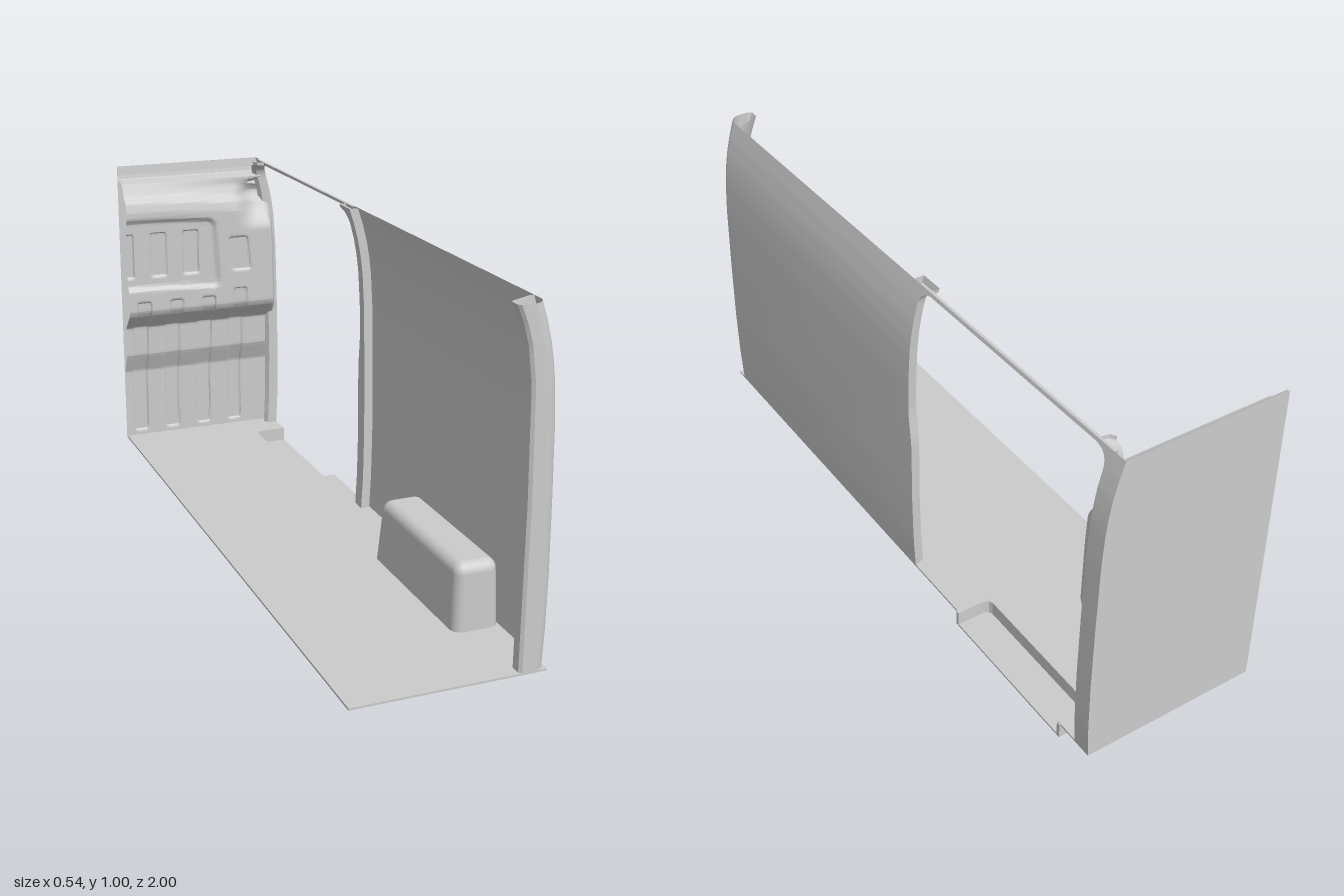
import * as THREE from 'three';
import { toCreasedNormals } from 'three/addons/utils/BufferGeometryUtils.js';
import { RoundedBoxGeometry } from 'three/addons/geometries/RoundedBoxGeometry.js';

const material = new THREE.MeshStandardMaterial({ color: 0xcccccc, side: THREE.DoubleSide });
const FLOOR = 0.05, LEFT = -0.272;
const lerp = THREE.MathUtils.lerp;
const ss = (a, b, v) => THREE.MathUtils.smoothstep(v, a, b);

// piecewise linear lookup in [key, value] pairs
function lookup(table, k) {
  let i = 1;
  while (i < table.length - 1 && k > table[i][0]) i++;
  const [a, b] = [table[i - 1], table[i]];
  return lerp(a[1], b[1], THREE.MathUtils.clamp((k - a[0]) / (b[0] - a[0]), 0, 1));
}

// outer curve of the body side (x for each height)
const SIDE = [[0.045, 0.265], [0.15, 0.27], [0.3, 0.272], [0.5, 0.27], [0.7, 0.266], [0.8, 0.26],
  [0.85, 0.254], [0.9, 0.245], [0.95, 0.232], [1, 0.216]];
const sideX = y => lookup(SIDE, y);
// inner edge of the rear pillar
const INNER = [[0.045, 0.187], [0.5, 0.19], [0.8, 0.185], [0.9, 0.172], [0.95, 0.158], [1, 0.138]];

// doorway edges with rounded upper corners
function cornerInset(y) {
  const r = 0.045, d = Math.min(Math.max(y - (0.99 - r), 0), r);
  return r - Math.sqrt(r * r - d * d);
}
const doorRear = y => lerp(-0.155, -0.14, ss(0.48, 0.62, y)) - cornerInset(y);
const doorFront = y => -0.942 + cornerInset(y);

// heights for body rows, closer together near the top
const HEIGHTS = [];
for (let i = 0; i <= 36; i++) HEIGHTS.push(0.045 + 0.855 * i / 36);
for (let i = 1; i <= 20; i++) HEIGHTS.push(0.9 + 0.1 * i / 20);

// surface through rows of equally many points
function loft(rows, crease = 0.5) {
  const n = rows[0].length, index = [];
  for (let j = 0; j < rows.length - 1; j++) {
    for (let i = 0; i < n - 1; i++) {
      const a = j * n + i, b = a + n;
      index.push(a, a + 1, b, b, a + 1, b + 1);
    }
  }
  const g = new THREE.BufferGeometry();
  g.setAttribute('position', new THREE.Float32BufferAttribute(rows.flat(2), 3));
  g.setIndex(index);
  g.computeVertexNormals();
  return toCreasedNormals(g, crease);
}

// horizontal section repeated at all body heights
const loftUp = section => loft(HEIGHTS.map(y => section(y).map(([x, z]) => [x, y, z])));

// plan outline in (x, z) extruded from height y0 to y1
function slab(points, y0, y1) {
  const s = new THREE.Shape(points.map(([x, z]) => new THREE.Vector2(x, -z)));
  const g = new THREE.ExtrudeGeometry(s, { depth: y1 - y0, bevelEnabled: false });
  return g.rotateX(-Math.PI / 2).translate(0, y0, 0);
}

// 1 inside a rounded rectangle, falling to 0 across the given edge width
function panel(x, y, x0, x1, y0, y1, r, edge) {
  const qx = Math.abs(x - (x0 + x1) / 2) - (x1 - x0) / 2 + r;
  const qy = Math.abs(y - (y0 + y1) / 2) - (y1 - y0) / 2 + r;
  const d = Math.hypot(Math.max(qx, 0), Math.max(qy, 0)) + Math.min(Math.max(qx, qy), 0) - r;
  return 1 - ss(-edge, 0, d);
}

// inner skin of the bulkhead: stepped profile, scooped corner, pressed panels
const STEPS = [[0.045, -0.991], [0.285, -0.991], [0.35, -0.962], [0.448, -0.96], [0.503, -0.908],
  [0.52, -0.9], [0.86, -0.898], [0.89, -0.905], [0.91, -0.925], [0.95, -0.942], [0.957, -0.99], [1, -0.994]];
function bulkheadZ(x, y) {
  const sag = 0.028 * ((x - LEFT) / 0.45) ** 2;
  const z0 = lookup(STEPS, y + sag * ss(0.6, 0.85, y) * (1 - ss(0.92, 0.953, y)));
  let z = z0 - 0.04 * ss(0.11, 0.19, x) * ss(0.77, 0.86, y) * (1 - ss(0.89, 0.94, y));
  for (let i = 0; i < 4; i++) {
    const c = -0.22 + 0.114 * i;
    z -= 0.006 * panel(x, y, c - 0.027, c + 0.027, 0.065, i === 3 ? 0.575 : 0.555, 0.012, 0.006);
  }
  z -= 0.012 * panel(x, y + sag, -0.5, 0.057 - 0.06 * (y - 0.588), 0.588, 0.84, 0.035, 0.022);
  for (const c of [-0.276, -0.163, -0.05]) z -= 0.006 * panel(x, y, c - 0.03, c + 0.03, 0.633, 0.788, 0.012, 0.006);
  z -= 0.006 * panel(x + 0.1 * (y - 0.633), y, 0.09, 0.165, 0.633, 0.755, 0.015, 0.006);
  return Math.max(z, -0.998);
}

export function createModel() {
  const model = new THREE.Group();
  const add = (name, geometry) => {
    const m = new THREE.Mesh(geometry, material);
    m.name = name;
    model.add(m);
  };

  // floor with a notch for the step
  add('floor', slab([[LEFT, -1], [0.265, -1], [0.265, -0.868], [0.164, -0.868], [0.164, -0.392],
    [0.265, -0.392], [0.265, 1], [LEFT, 1]], 0.044, FLOOR));

  // sunken step, open to the outside
  add('stepWalls', slab([[0.268, -0.88], [0.15, -0.88], [0.15, -0.38], [0.268, -0.38], [0.268, -0.392],
    [0.18, -0.392], [0.168, -0.398], [0.164, -0.41], [0.164, -0.85], [0.168, -0.862], [0.18, -0.868],
    [0.268, -0.868]], 0, FLOOR - 0.001));
  add('stepTread', slab([[0.151, -0.879], [0.268, -0.879], [0.268, -0.381], [0.151, -0.381]], 0, 0.006));

  // side panel wrapping round the rear corner into the hollow pillar
  add('sidePanel', loftUp(y => {
    const x = sideX(y), inner = lookup(INNER, y), r = 0.04, pts = [[x, doorRear(y)]];
    for (let i = 0; i <= 8; i++) {
      const a = i / 8 * Math.PI / 2;
      pts.push([x - r + r * Math.cos(a), 0.96 + r * Math.sin(a)]);
    }
    pts.push([inner + 0.008, 1], [inner, 0.993], [inner, 0.965], [inner + 0.008, 0.957], [x - 0.012, 0.93], [x, 0.93]);
    return pts.reverse();
  }));

  // pillar behind the doorway
  add('doorRearPillar', loftUp(y => {
    const x = sideX(y), z = doorRear(y);
    return [[x, z], [x - 0.03, z + 0.008], [x - 0.03, -0.1], [x - 0.003, -0.1]];
  }));

  // pillar ahead of the doorway
  add('doorFrontPillar', loftUp(y => {
    const x = sideX(y), z = doorFront(y);
    return [[x - 0.04, z - 0.02], [x - 0.03, z - 0.004], [x - 0.008, z], [x, z], [x, -1]];
  }));

  // thin rail over the doorway
  add('doorHeader', loft([-0.96, -0.13].map(z =>
    [[0.211, 0.99, z], [sideX(0.99), 0.99, z], [sideX(1), 1, z], [0.208, 1, z], [0.211, 0.99, z]])));

  // bulkhead outer and inner skins
  add('bulkheadOuterSkin', loftUp(y => [[sideX(y), -1], [LEFT, -1]]));
  const rows = [], NX = 130, NY = 220;
  for (let j = 0; j <= NY; j++) {
    const y = lerp(0.045, 1, j / NY), row = [];
    for (let i = 0; i <= NX; i++) {
      const x = lerp(LEFT, sideX(y) - 0.004, i / NX);
      const side = ss(sideX(y) - 0.03, sideX(y) - 0.004, x);
      const z = bulkheadZ(x, y);
      row.push([x, y, lerp(z, Math.min(z, -0.945), side)]);
    }
    rows.push(row);
  }
  add('bulkheadInnerSkin', loft(rows, 0.6));

  // wheel arch box, tapering upwards, cut off at the floor
  const arch = new RoundedBoxGeometry(0.134, 0.25, 0.52, 5, 0.03);
  const p = arch.attributes.position;
  for (let i = 0; i < p.count; i++) {
    const y = Math.max(p.getY(i) + 0.11, 0.047), t = (y - 0.047) / 0.188;
    const x = p.getX(i) + 0.197;
    p.setXYZ(i, Math.min(x + 0.012 * t * (0.264 - x) / 0.134, sideX(y) - 0.003), y, p.getZ(i) * (1 - 0.07 * t) + 0.495);
  }
  add('wheelArch', arch);
  return model;
}
